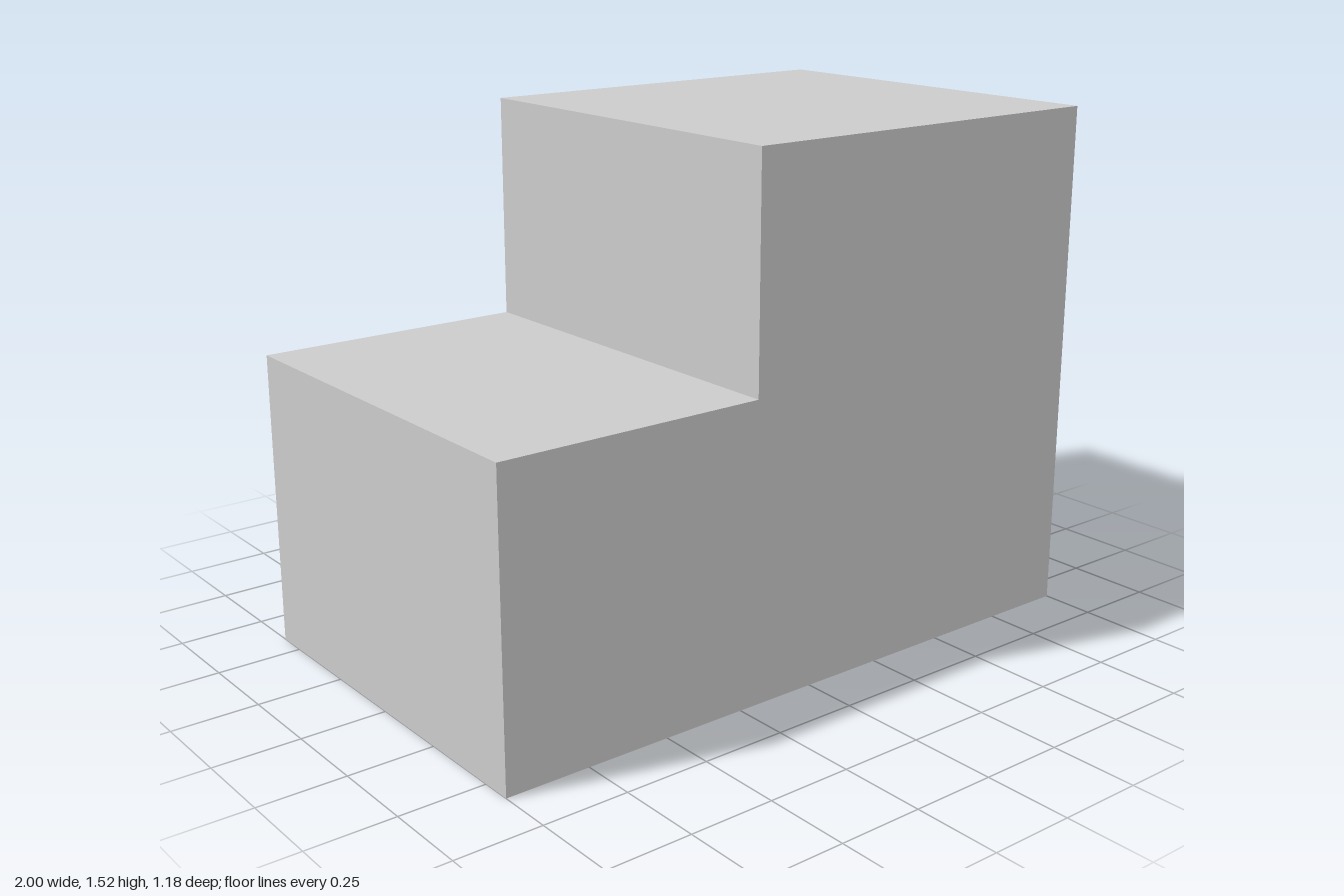
import * as THREE from 'three';

const WIDTH = 2, HEIGHT = 1.52, DEPTH = 1.18;
const STEP_X = -0.2, STEP_Y = 0.865;

export function createModel() {
  const group = new THREE.Group();
  group.name = 'steppedBlock';

  // L-shaped side profile: low step on -x, tall block on +x
  const half = WIDTH / 2;
  const profile = new THREE.Shape([
    [-half, 0], [half, 0], [half, HEIGHT],
    [STEP_X, HEIGHT], [STEP_X, STEP_Y], [-half, STEP_Y],
  ].map(([x, y]) => new THREE.Vector2(x, y)));

  // Extruded along z and centred
  const geometry = new THREE.ExtrudeGeometry(profile, { depth: DEPTH, bevelEnabled: false });
  geometry.translate(0, 0, -DEPTH / 2);

  const body = new THREE.Mesh(
    geometry,
    new THREE.MeshStandardMaterial({ color: 0xcccccc, flatShading: true }),
  );
  body.name = 'steppedBody';
  group.add(body);
  return group;
}
